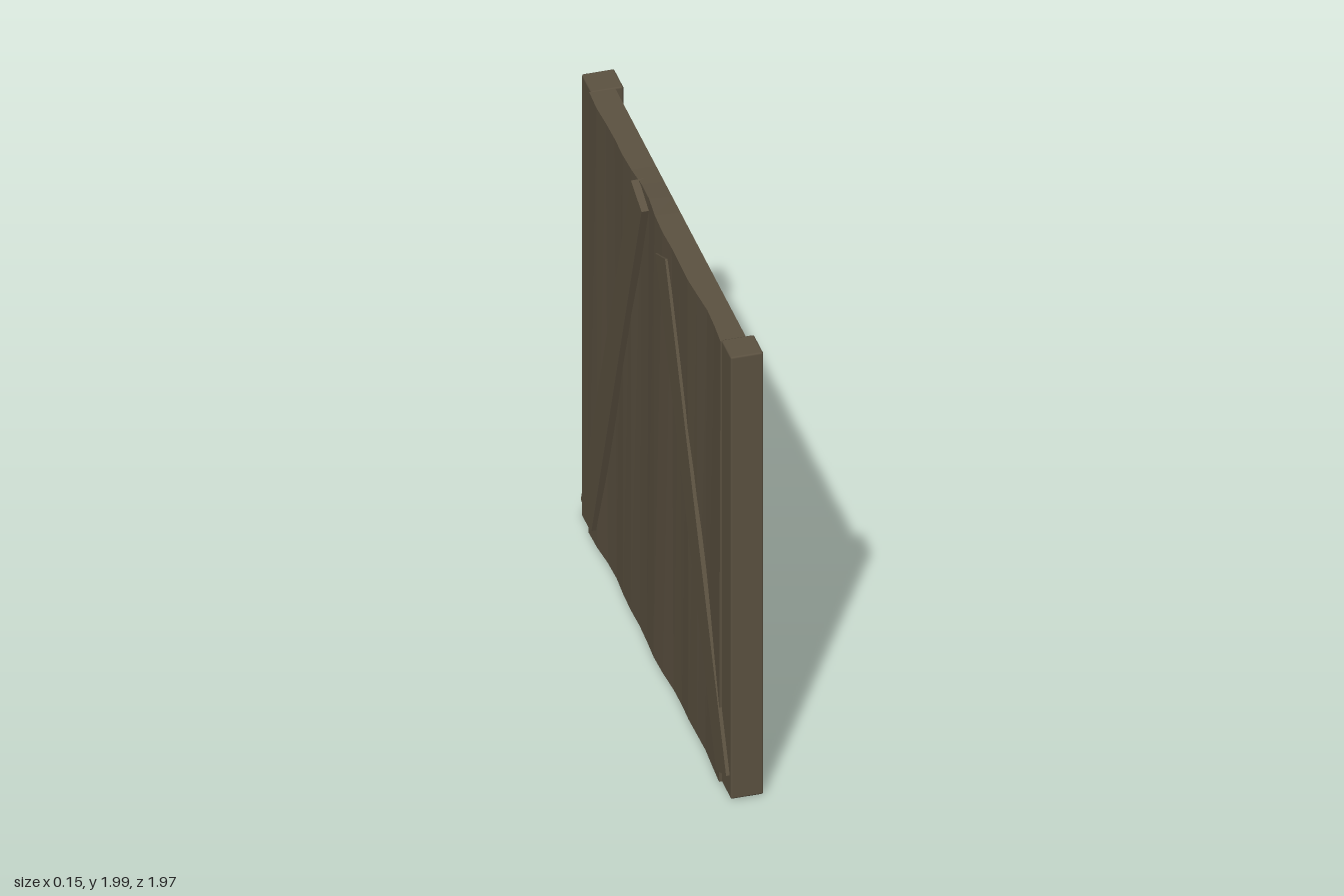
import * as THREE from 'three';
import { RoundedBoxGeometry } from 'three/addons/geometries/RoundedBoxGeometry.js';

const wood = new THREE.MeshStandardMaterial({ color: 0x5c5241 });
wood.name = 'weatheredWood';

export function createModel() {
  const group = new THREE.Group();
  group.name = 'wallPanel';

  const add = (name, geometry, x, y, z, tilt = 0) => {
    const mesh = new THREE.Mesh(geometry, wood);
    mesh.name = name;
    mesh.position.set(x, y, z);
    mesh.rotation.x = tilt;
    group.add(mesh);
    return mesh;
  };
  // Box given by its limits on each axis
  const span = (name, x0, x1, y0, y1, z0, z1) =>
    add(name, new THREE.BoxGeometry(x1 - x0, y1 - y0, z1 - z0),
      (x0 + x1) / 2, (y0 + y1) / 2, (z0 + z1) / 2);
  // Thin bar running between two points (z, y) on the wall face
  const bar = (name, x0, x1, width, a, b) => {
    const dz = b[0] - a[0], dy = b[1] - a[1];
    add(name, new THREE.BoxGeometry(x1 - x0, width, Math.hypot(dz, dy)),
      (x0 + x1) / 2, (a[1] + b[1]) / 2, (a[0] + b[0]) / 2, -Math.atan2(dy, dz));
  };

  // Corner posts
  for (const side of [1, -1]) {
    add('post', new RoundedBoxGeometry(0.128, 1.985, 0.127, 1, 0.008), 0.009, 1.002, side * 0.922);
  }

  // Core slab with uneven edges along the back
  const slab = new THREE.BoxGeometry(0.095, 1.976, 1.73, 1, 1, 16);
  const p = slab.attributes.position;
  for (let i = 0; i < p.count; i++) {
    const z = p.getZ(i), top = p.getY(i) > 0;
    if (p.getX(i) < 0) {
      const wave = Math.sin(z * 7 + (top ? 0 : 2)) * 0.5 + Math.sin(z * 15 + 1) * 0.4;
      p.setX(i, p.getX(i) - 0.002 - wave * 0.01);
      const bump = Math.max(0, 1 - Math.abs(z - (top ? -0.1 : 0.27)) / 0.25);
      p.setY(i, p.getY(i) + (top ? 0.011 : -0.01) * bump);
    }
  }
  const flatSlab = slab.toNonIndexed();
  flatSlab.computeVertexNormals();
  add('coreSlab', flatSlab, -0.007, 1.002, 0);

  // Front face boards: infill and the two rails
  span('infill', 0.03, 0.046, 0.24, 1.77, -0.86, 0.86);
  span('topRail', 0.03, 0.056, 1.77, 1.93, -0.86, 0.86);
  span('bottomRail', 0.03, 0.056, 0.08, 0.24, -0.86, 0.86);

  // Upright battens
  for (const z of [0.585, 0.293, 0, -0.288, -0.58]) {
    span('uprightBatten', 0.04, 0.071, 0.24, 1.77, z - 0.011, z + 0.011);
  }

  // Staggered cross battens: heights at the +z and -z end of each bay
  const bays = [
    { z: [0.86, 0.595], y: [[1.388, 1.388], [1.002, 1.012], [0.614, 0.605]] },
    { z: [0.574, 0.304], y: [[1.57, 1.579], [1.198, 1.187], [0.804, 0.804], [0.422, 0.422]] },
    { z: [0.282, 0.011], y: [[1.406, 1.388], [1.006, 1.014], [0.615, 0.61]] },
    { z: [-0.011, -0.277], y: [[1.591, 1.577], [1.191, 1.191], [0.804, 0.804], [0.421, 0.408]] },
    { z: [-0.299, -0.569], y: [[1.388, 1.374], [1.003, 0.99], [0.612, 0.623]] },
    { z: [-0.591, -0.86], y: [[1.563, 1.573], [1.2, 1.193], [0.804, 0.804], [0.416, 0.421]] },
  ];
  for (const { z, y } of bays) {
    for (const [y0, y1] of y) bar('crossBatten', 0.04, 0.07, 0.021, [z[1], y1], [z[0], y0]);
  }

  // Diagonal braces across the back
  bar('backBrace', -0.079, -0.03, 0.15, [-0.84, 0.11], [-0.18, 1.97]);
  bar('backBrace', -0.069, -0.03, 0.145, [0.1, 1.88], [0.905, 0.08]);

  return group;
}
